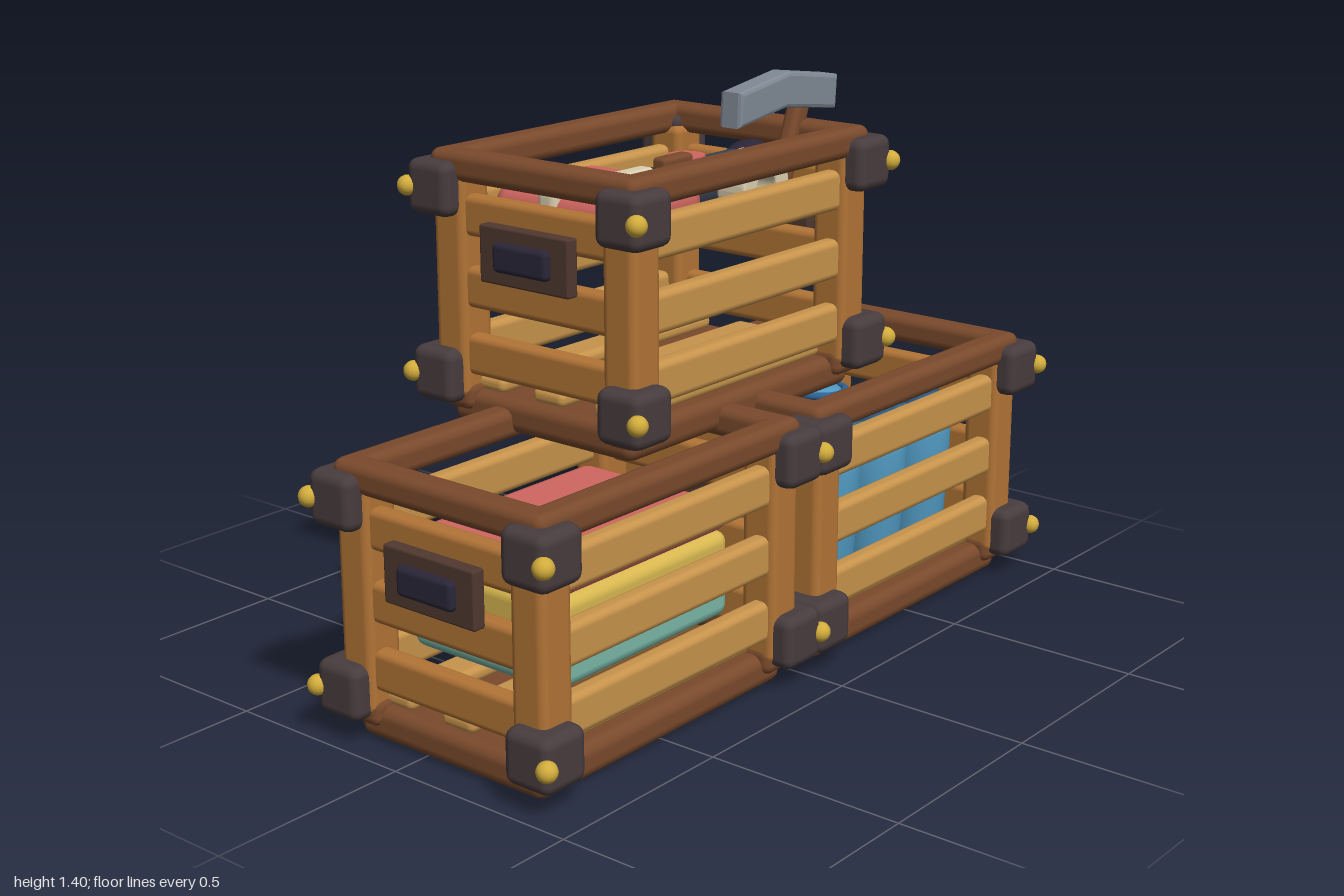
import * as THREE from 'three';
import { RoundedBoxGeometry } from 'three/addons/geometries/RoundedBoxGeometry.js';

const mat = (color) => new THREE.MeshStandardMaterial({ color });
const M = {
  rim: mat(0x7a4a2c), post: mat(0xb27436), slat: mat(0xc8944c), bracket: mat(0x483c3e),
  brass: mat(0xd2ac3c), plate: mat(0x50382f), navy: mat(0x2a2638), red: mat(0xd06660),
  yellow: mat(0xd8b850), teal: mat(0x7ab8a8), cream: mat(0xdccfb0), blue: mat(0x5098c0),
  darkBlue: mat(0x2f6496), steel: mat(0x7f8994), slate: mat(0x3a4352),
};

function add(parent, name, geometry, material, x = 0, y = 0, z = 0) {
  const mesh = new THREE.Mesh(geometry, material);
  mesh.name = name;
  mesh.position.set(x, y, z);
  parent.add(mesh);
  return mesh;
}

function box(parent, name, material, [w, h, d], [x, y, z], r = 0.015) {
  return add(parent, name, new RoundedBoxGeometry(w, h, d, 2, Math.min(r, w / 2.1, h / 2.1, d / 2.1)), material, x, y, z);
}

// Slatted crate standing on its own y = 0
function crate(name) {
  const g = new THREE.Group();
  g.name = name;
  box(g, 'base', M.rim, [0.86, 0.085, 0.57], [0, 0.0425, 0], 0.03);
  for (const z of [-0.19, 0, 0.19]) box(g, 'floorSlat', M.slat, [0.8, 0.04, 0.1], [0, 0.1, z], 0.018);

  for (const s of [-1, 1]) {
    // Top rim
    box(g, 'rimLong', M.rim, [0.91, 0.075, 0.075], [0, 0.63, s * 0.281], 0.025);
    box(g, 'rimShort', M.rim, [0.075, 0.075, 0.635], [s * 0.417, 0.63, 0], 0.025);
    // Slats on all four sides
    for (const y of [0.175, 0.34, 0.513]) {
      box(g, 'longSlat', M.slat, [0.76, 0.1, 0.05], [0, y, s * 0.272], 0.018);
      box(g, 'shortSlat', M.post, [0.05, 0.1, 0.48], [s * 0.41, y, 0], 0.018);
    }
    // Handle plates
    box(g, 'handlePlate', M.plate, [0.035, 0.138, 0.275], [s * 0.455, 0.443, 0], 0.006);
    box(g, 'handleGrip', M.navy, [0.035, 0.072, 0.17], [s * 0.473, 0.443, 0], 0.014);

    // Posts, corner brackets and bolts
    for (const t of [-1, 1]) {
      box(g, 'post', M.post, [0.1, 0.55, 0.1], [s * 0.4, 0.34, t * 0.263], 0.022);
      box(g, 'postFoot', M.rim, [0.1, 0.07, 0.1], [s * 0.395, 0.07, t * 0.255], 0.025);
      for (const y of [0.123, 0.577]) {
        box(g, 'cornerBracket', M.bracket, [0.133, 0.133, 0.133], [s * 0.425, y, t * 0.291], 0.026);
        add(g, 'bolt', new THREE.SphereGeometry(0.025, 14, 10), M.brass, s * 0.487, y, t * 0.353);
      }
    }
  }
  return g;
}

// Stack of folded cloths
function clothStack() {
  const g = new THREE.Group();
  g.name = 'clothStack';
  const layers = [[M.teal, 0.25, 0.11], [M.yellow, 0.357, 0.105], [M.red, 0.447, 0.075]];
  for (const [m, y, h] of layers) {
    box(g, 'foldedCloth', m, [0.61, h, 0.45], [-0.495, y, 0.08], 0.03);
    box(g, 'clothFold', m, [0.08, h * 0.65, 0.41], [-0.215, y - 0.006, 0.08], 0.02);
  }
  box(g, 'clothTie', M.cream, [0.07, 0.18, 0.3], [-0.198, 0.31, 0.08], 0.012);
  return g;
}

function bottle() {
  const g = new THREE.Group();
  g.name = 'bottle';
  const profile = [[0, 0.12], [0.066, 0.12], [0.074, 0.14], [0.086, 0.34], [0.089, 0.43], [0.08, 0.46],
    [0.05, 0.485], [0.04, 0.5], [0.04, 0.53], [0, 0.53]].map(([x, y]) => new THREE.Vector2(x, y));
  add(g, 'bottleBody', new THREE.LatheGeometry(profile, 24), M.blue);
  const ring = add(g, 'bottleRing', new THREE.TorusGeometry(0.07, 0.011, 8, 24), M.darkBlue, 0, 0.475, 0);
  ring.rotation.x = Math.PI / 2;
  add(g, 'bottleCap', new THREE.CylinderGeometry(0.052, 0.055, 0.07, 20), M.darkBlue, 0, 0.545, 0);
  return g;
}

// Wrapped parcel with a cross band
function parcel() {
  const g = new THREE.Group();
  g.name = 'parcel';
  box(g, 'parcelBody', M.red, [0.36, 0.125, 0.37], [-0.205, 1.13, -0.083], 0.045);
  box(g, 'parcelBand', M.cream, [0.065, 0.135, 0.395], [-0.21, 1.135, -0.083], 0.02);
  box(g, 'parcelBand', M.cream, [0.375, 0.135, 0.06], [-0.205, 1.135, -0.083], 0.02);
  return g;
}

// Torch lying along x
function torch() {
  const g = new THREE.Group();
  g.name = 'torch';
  const part = (name, m, r0, r1, x0, x1) => {
    add(g, name, new THREE.CylinderGeometry(r1, r0, x1 - x0, 24), m, (x0 + x1) / 2, 1.135, -0.062).rotation.z = -Math.PI / 2;
  };
  part('torchBody', M.slate, 0.065, 0.065, -0.03, 0.29);
  part('torchNeck', M.navy, 0.062, 0.08, 0.28, 0.34);
  part('torchHead', M.navy, 0.08, 0.08, 0.34, 0.37);
  add(g, 'torchButton', new THREE.CylinderGeometry(0.048, 0.052, 0.04, 20), M.red, 0.095, 1.195, -0.062);
  return g;
}

function hammer() {
  const g = new THREE.Group();
  g.name = 'hammer';
  const pts = [[0.135, 1.298], [0.32, 1.325], [0.515, 1.298], [0.52, 1.365], [0.33, 1.393], [0.14, 1.365]];
  const shape = new THREE.Shape(pts.map(([x, y]) => new THREE.Vector2(x, y)));
  const geo = new THREE.ExtrudeGeometry(shape, { depth: 0.046, bevelEnabled: true, bevelThickness: 0.01, bevelSize: 0.01, bevelSegments: 2 });
  add(g, 'hammerHead', geo, M.steel, 0, 0, 0.025);
  const handle = box(g, 'hammerHandle', M.rim, [0.055, 0.32, 0.045], [0.355, 1.175, 0.048], 0.018);
  handle.rotation.z = -0.36;
  return g;
}

// Roll of tape, axis along z
function tapeRoll() {
  const shape = new THREE.Shape().absarc(0, 0, 0.085, 0, Math.PI * 2);
  shape.holes.push(new THREE.Path().absarc(0, 0, 0.042, 0, Math.PI * 2, true));
  const geo = new THREE.ExtrudeGeometry(shape, { depth: 0.07, curveSegments: 20, bevelThickness: 0.007, bevelSize: 0.005, bevelSegments: 2 });
  const roll = new THREE.Mesh(geo, M.cream);
  roll.name = 'tapeRoll';
  roll.position.set(0.145, 1.15, 0.072);
  return roll;
}

export function createModel() {
  const model = new THREE.Group();
  model.name = 'stackedCrates';
  const spots = [['rightCrate', -0.4875, 0, 0.08], ['leftCrate', 0.4875, 0, 0.08], ['topCrate', 0, 0.606, -0.08]];
  for (const [name, x, y, z] of spots) {
    const c = crate(name);
    c.position.set(x, y, z);
    model.add(c);
  }
  model.add(clothStack());

  for (const x of [0.278, 0.487, 0.694]) {
    for (const z of [-0.078, 0.24]) {
      const b = bottle();
      b.position.set(x, 0, z);
      model.add(b);
    }
  }

  model.add(parcel(), torch(), hammer(), tapeRoll());
  box(model, 'rimClasp', M.rim, [0.105, 0.085, 0.04], [-0.21, 1.242, 0.148], 0.01);
  return model;
}
